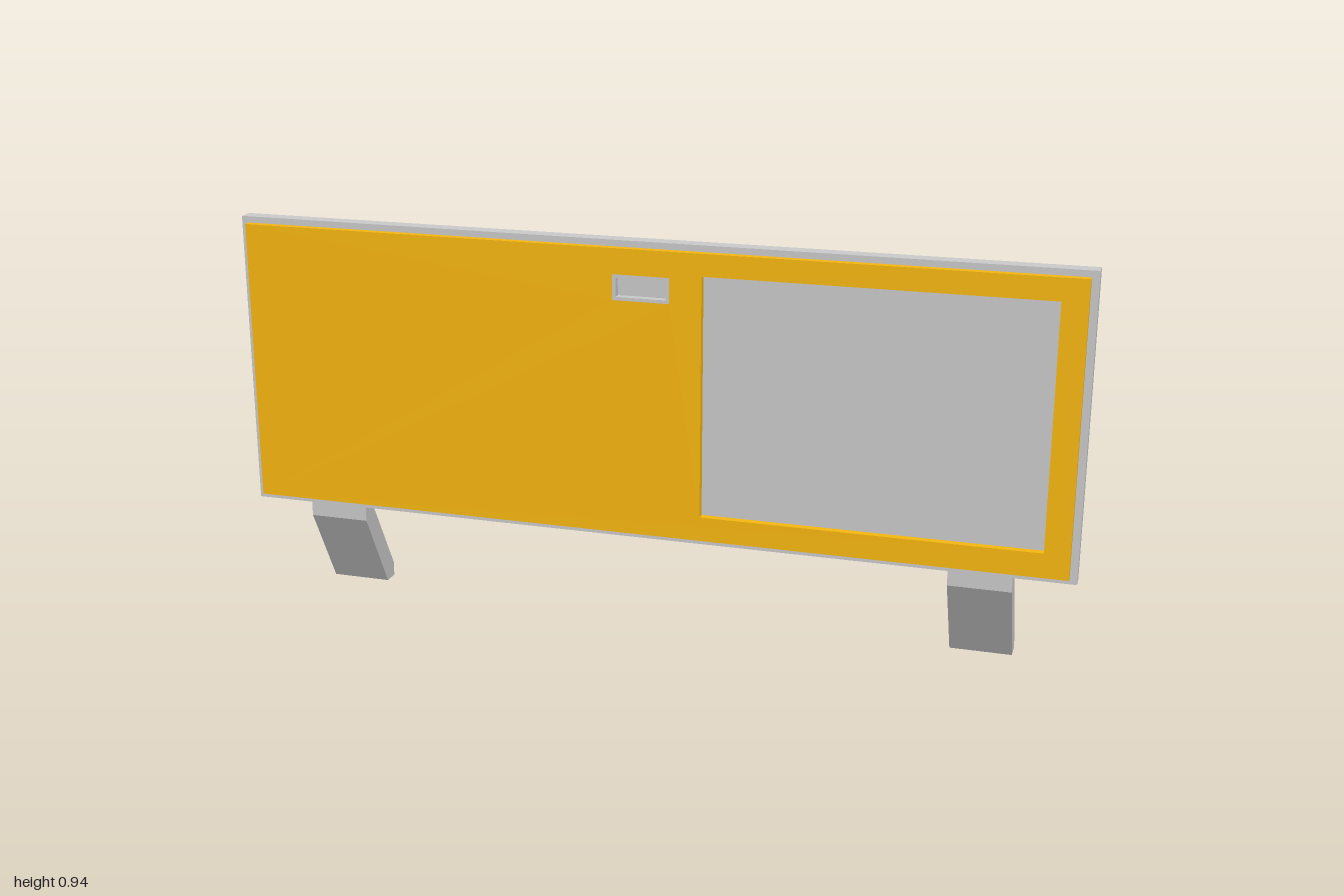
import * as THREE from 'three';

const grey = new THREE.MeshStandardMaterial({ color: 0xcccccc });
const orange = new THREE.MeshStandardMaterial({ color: 0xf8b80f });
const olive = new THREE.MeshStandardMaterial({ color: 0xd0be0f });

// Rectangle outline from its limits
function rect(Type, x0, x1, y0, y1) {
  return new Type([[x0, y0], [x1, y0], [x1, y1], [x0, y1]].map(p => new THREE.Vector2(...p)));
}

function extrude(shape, depth) {
  return new THREE.ExtrudeGeometry(shape, { depth, bevelEnabled: false });
}

function add(group, name, geometry, material, x = 0, y = 0, z = 0) {
  const mesh = new THREE.Mesh(geometry, material);
  mesh.name = name;
  mesh.position.set(x, y, z);
  group.add(mesh);
}

export function createModel() {
  const model = new THREE.Group();
  model.name = 'standingBoard';

  // Core board, visible as the rim and behind the window openings
  add(model, 'coreBoard', new THREE.BoxGeometry(2, 0.71, 0.037), grey, 0, 0.59, 0.0465);

  // Coloured facing with a window and a grip opening, on both sides
  const facing = rect(THREE.Shape, -0.983, 0.983, 0.25, 0.93);
  facing.holes.push(
    rect(THREE.Path, 0.14, 0.925, 0.308, 0.878),
    rect(THREE.Path, -0.069, 0.065, 0.81, 0.87)
  );
  // Thin rim lining the grip opening
  const rim = rect(THREE.Shape, -0.069, 0.065, 0.81, 0.87);
  rim.holes.push(rect(THREE.Path, -0.061, 0.057, 0.818, 0.862));

  for (const [side, z, depth, material] of [
    ['front', 0.065, 0.018, orange],
    ['back', 0.012, 0.016, olive],
  ]) {
    add(model, side + 'Panel', extrude(facing, depth), material, 0, 0, z);
    add(model, side + 'GripRim', extrude(rim, depth), grey, 0, 0, z);
  }

  // Bent feet: side profile drawn as (-z, y), turned to run along x
  const foot = new THREE.Shape([
    [-0.065, 0.24], [-0.065, 0.2], [0.042, 0], [0.081, 0], [0.081, 0.035], [-0.028, 0.235], [-0.028, 0.24],
  ].map(p => new THREE.Vector2(...p)));
  const footGeometry = extrude(foot, 0.145).translate(0, 0, -0.0725).rotateY(Math.PI / 2);
  add(model, 'leftFoot', footGeometry, grey, 0.787);
  add(model, 'rightFoot', footGeometry, grey, -0.787);

  return model;
}
